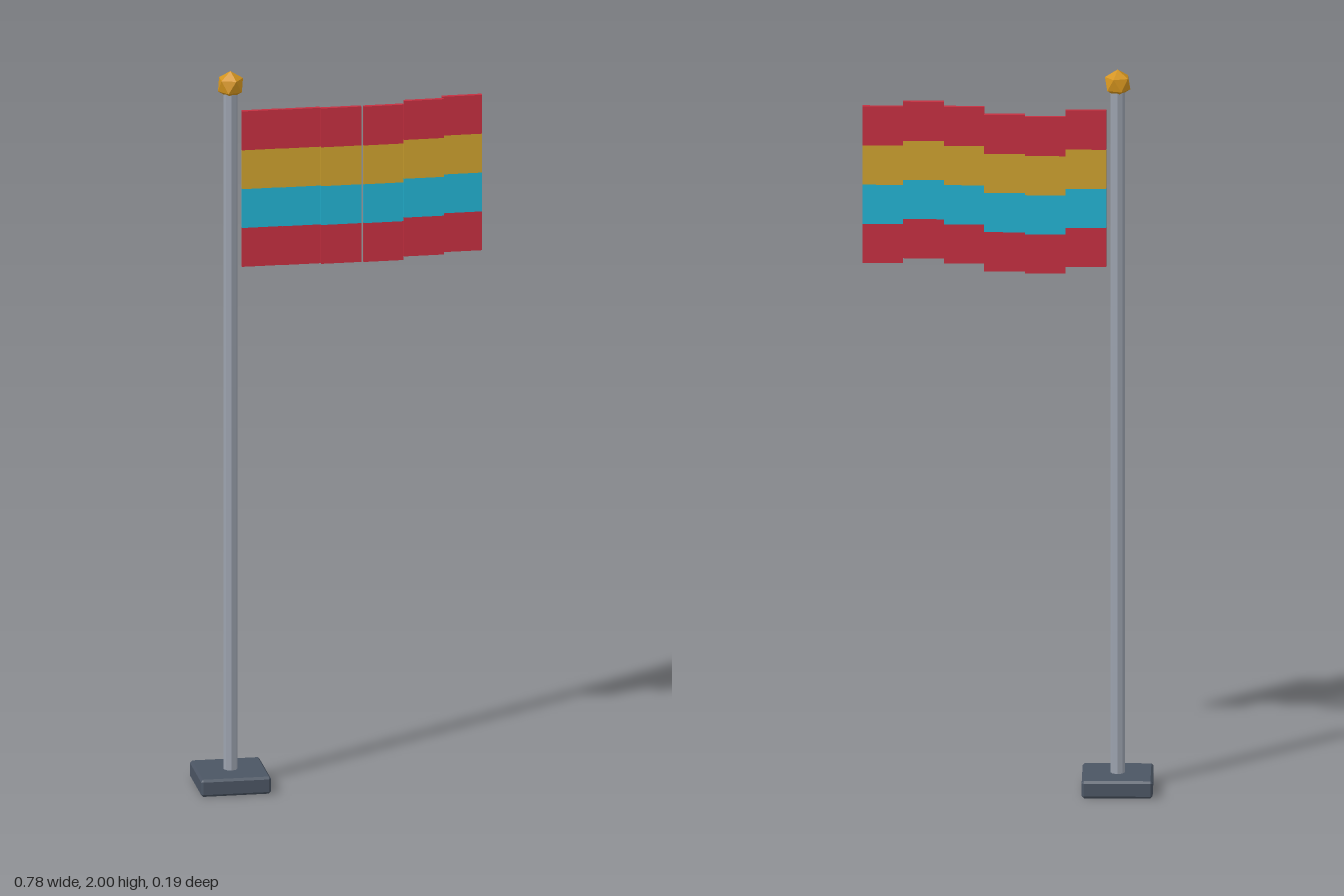
import * as THREE from 'three';
import { ConvexGeometry } from 'three/addons/geometries/ConvexGeometry.js';

const paint = (name, color) => {
  const m = new THREE.MeshStandardMaterial({ color, flatShading: true });
  m.name = name;
  return m;
};

// Box with every edge cut by a flat chamfer c
function chamferedBox(w, h, d, c) {
  const points = [];
  for (const x of [-1, 1]) for (const y of [-1, 1]) for (const z of [-1, 1]) {
    for (let full = 0; full < 3; full++) {
      const half = [w, h, d].map((s, i) => s / 2 - (i === full ? 0 : c));
      points.push(new THREE.Vector3(x * half[0], y * half[1], z * half[2]));
    }
  }
  return new ConvexGeometry(points);
}

export function createModel() {
  const model = new THREE.Group();
  model.name = 'flagpole';
  const slate = paint('slate', 0x4b5563);
  const steel = paint('steel', 0x9ca3af);
  const brass = paint('brass', 0xd4941e);
  const red = paint('red cloth', 0xc42f40);
  const yellow = paint('yellow cloth', 0xcca02e);
  const blue = paint('blue cloth', 0x22b1d0);

  const add = (parent, name, geometry, material, x, y, z) => {
    const mesh = new THREE.Mesh(geometry, material);
    mesh.name = name;
    mesh.position.set(x, y, z);
    parent.add(mesh);
    return mesh;
  };
  const poleX = -0.294;

  // Foot and pole
  add(model, 'base', chamferedBox(0.19, 0.044, 0.19, 0.006), slate, poleX, 0.026 - 0.004, 0).scale.y = 1;
  add(model, 'pole', new THREE.CylinderGeometry(0.0195, 0.0195, 1.91, 8), steel, poleX, 0.995, 0);

  // Faceted ball, turned so one corner points straight up
  const ball = new THREE.IcosahedronGeometry(0.038, 0);
  ball.rotateZ(-Math.atan(2 / (1 + Math.sqrt(5))));
  add(model, 'finial', ball, brass, poleX, 1.962, 0);

  // Flag: six stepped panels of four stripes, each [top y, z]
  const panels = [
    [1.887, 0], [1.877, -0.03], [1.879, -0.017],
    [1.89, 0.02], [1.902, 0.027], [1.898, -0.007],
  ];
  const flag = new THREE.Group();
  flag.name = 'flag';
  model.add(flag);
  const width = 0.1087, height = 0.1087;
  const stripe = new THREE.BoxGeometry(width, height, 0.012);
  panels.forEach(([top, z], i) => {
    const panel = new THREE.Group();
    panel.name = `flagPanel${i + 1}`;
    panel.position.set(-0.2635 + width * (i + 0.5), top, z);
    flag.add(panel);
    [red, yellow, blue, red].forEach((cloth, j) =>
      add(panel, `stripe${j + 1}`, stripe, cloth, 0, -height * (j + 0.5), 0));
  });

  // Plinth height is set so the foot rests on the ground
  const base = model.getObjectByName('base');
  base.geometry.computeBoundingBox();
  base.scale.y = 0.048 / 0.044;
  base.position.y = 0.024;
  return model;
}
